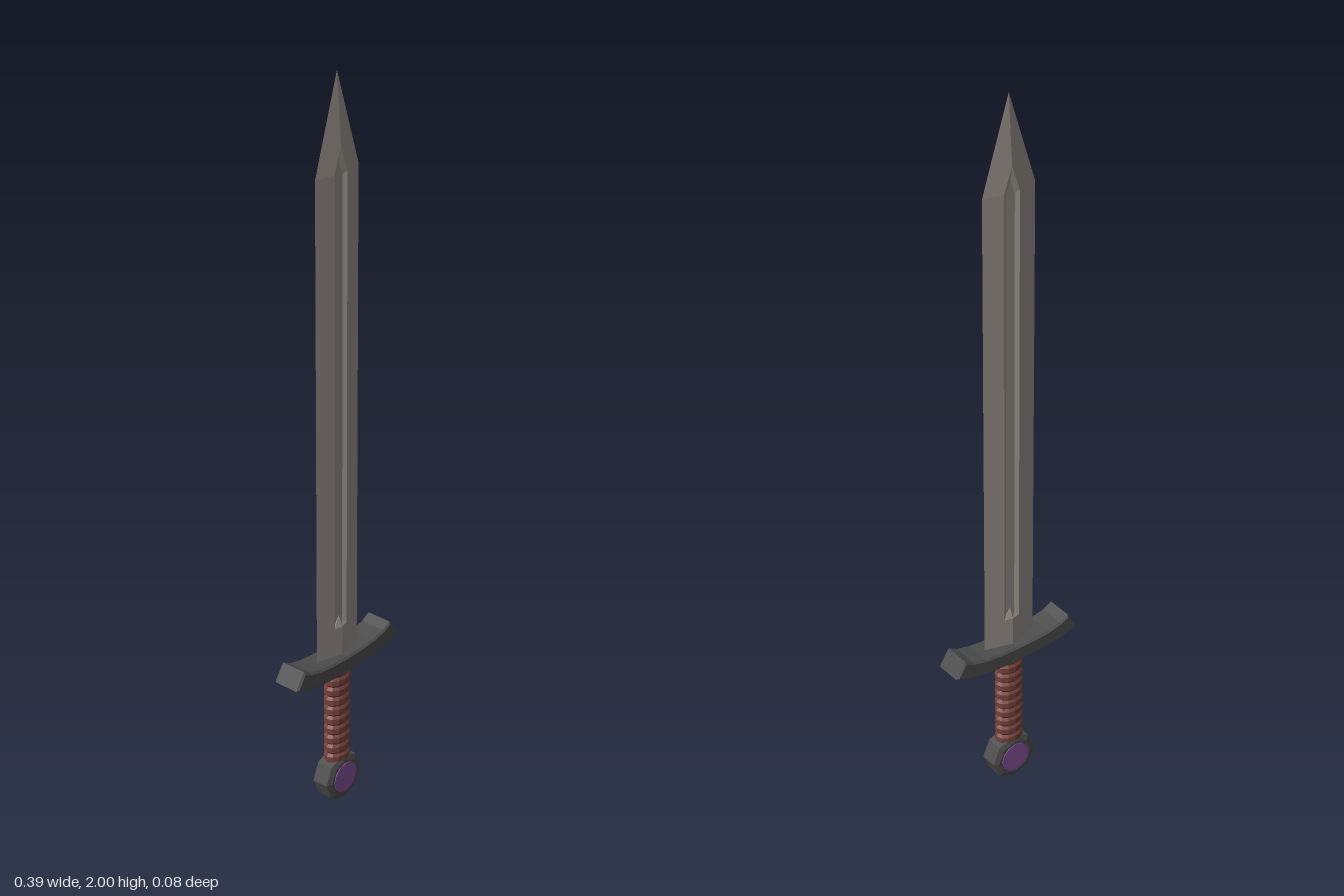
import * as THREE from 'three';

const mat = (name, color) => {
  const m = new THREE.MeshStandardMaterial({ color });
  m.name = name;
  m.flatShading = true;
  return m;
};

// Blade: one quarter described as faces, mirrored in x and z
function bladeGeometry() {
  const W = 0.077, T = 0.018, FLOOR = 0.006;
  const skin = (x, y) => [x, y, T * (Math.min(1, (2 - y) / 0.25) - x / W)];
  const floor = (x, y) => [x, y, FLOOR];
  const r0 = skin(0, 0.41), e0 = skin(W, 0.41), e1 = skin(W, 1.75), tip = skin(0, 2);
  const b = skin(0, 0.52), g0 = skin(0.023, 0.52), g1 = skin(0.023, 1.75), p = skin(0, 1.815);
  const f0 = floor(0, 0.55), f1 = floor(0.013, 0.53), f2 = floor(0.013, 1.74), f3 = floor(0, 1.775);
  const quads = [
    [r0, e0, g0, b], [e0, e1, g1, g0], [e1, tip, p, g1], // outer bevels
    [g0, g1, f2, f1], [g1, p, f3, f2], [b, g0, f1, f0], // groove walls
    [f0, f1, f2, f3], // groove floor
  ];
  const pos = [];
  for (const sx of [1, -1]) for (const sz of [1, -1]) {
    for (const q of quads) {
      const [a, c, d, e] = sx * sz > 0 ? q : [...q].reverse();
      for (const v of [a, c, d, a, d, e]) pos.push(v[0] * sx, v[1], v[2] * sz);
    }
  }
  const g = new THREE.BufferGeometry();
  g.setAttribute('position', new THREE.Float32BufferAttribute(pos, 3));
  g.computeVertexNormals();
  return g;
}

// Guard: upswept bar with a small bevel
function guardGeometry() {
  const top = [[0, 0.439], [0.06, 0.441], [0.1, 0.445], [0.14, 0.454], [0.165, 0.468]];
  const bottom = [[0.194, 0.423], [0.16, 0.41], [0.115, 0.4], [0.06, 0.394], [0, 0.392]];
  const half = [...top, ...bottom];
  const mirrored = half.slice(1, -1).reverse().map(([x, y]) => [-x, y]);
  const shape = new THREE.Shape([...half, ...mirrored].map(([x, y]) => new THREE.Vector2(x, y)));
  const g = new THREE.ExtrudeGeometry(shape, {
    depth: 0.07, bevelThickness: 0.005, bevelSize: 0.005, bevelOffset: -0.005, bevelSegments: 1,
  });
  return g.translate(0, 0, -0.035);
}

// Grip: stacked rings of leather wrap on an oval section
function gripGeometry() {
  const y0 = 0.115, y1 = 0.405, rings = 10, h = (y1 - y0) / rings;
  const pts = [];
  for (let i = 0; i < rings; i++) {
    for (const [r, t] of [[0.033, 0], [0.04, 0.25], [0.04, 0.75]]) {
      pts.push(new THREE.Vector2(r, y0 + (i + t) * h));
    }
  }
  pts.push(new THREE.Vector2(0.033, y1));
  return new THREE.LatheGeometry(pts, 12).scale(1, 1, 0.72);
}

// Pommel: eight-sided disc with chamfered rims
function pommelGeometry() {
  const pts = [[0, -0.029], [0.052, -0.029], [0.067, -0.023], [0.067, 0.023], [0.052, 0.029], [0, 0.029]];
  return new THREE.LatheGeometry(pts.map(([r, y]) => new THREE.Vector2(r, y)), 8).rotateX(Math.PI / 2);
}

export function createModel() {
  const steel = mat('steel', 0x968e88);
  const iron = mat('darkIron', 0x4e4e4e);
  const leather = mat('leather', 0x74403a);
  const purple = mat('purpleGem', 0x84509a);

  const model = new THREE.Group();
  model.name = 'sword';
  const add = (name, geometry, material, y = 0) => {
    const m = new THREE.Mesh(geometry, material);
    m.name = name;
    m.position.y = y;
    model.add(m);
    return m;
  };

  add('blade', bladeGeometry(), steel);
  add('guard', guardGeometry(), iron);
  add('grip', gripGeometry(), leather);
  add('pommel', pommelGeometry(), iron, 0.067);

  // Gem faces on both sides of the pommel
  for (const s of [1, -1]) {
    const gem = add(s > 0 ? 'frontGem' : 'backGem',
      new THREE.CylinderGeometry(0.043, 0.043, 0.004, 12).rotateX(Math.PI / 2), purple, 0.067);
    gem.position.z = s * 0.029;
  }
  return model;
}
